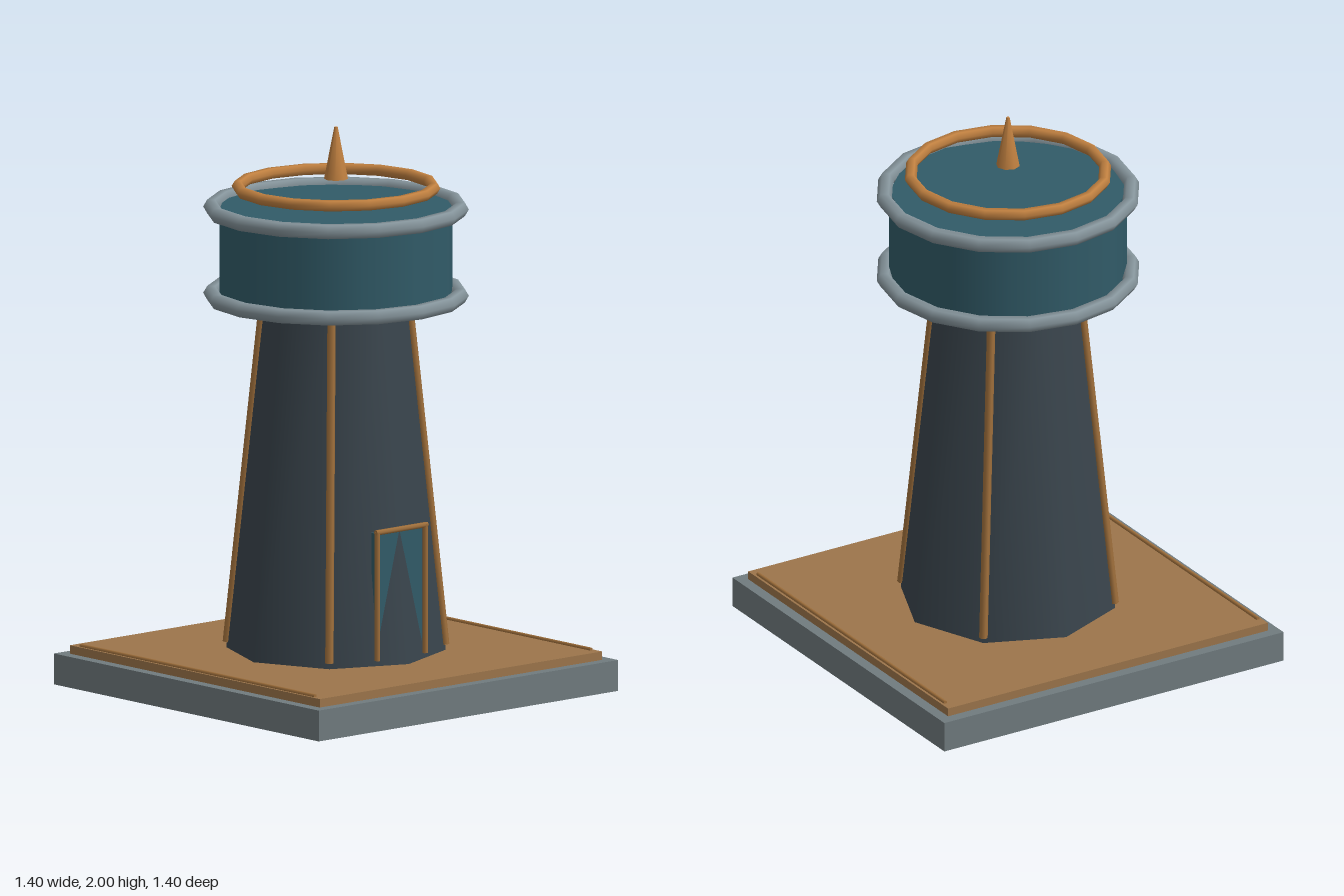
import * as THREE from 'three';

const mat = (color) => new THREE.MeshStandardMaterial({ color });
const STONE = mat(0x707b7e), DECK = mat(0x9c754b), SLATE = mat(0x3a454d);
const TEAL = mat(0x315b68), STEEL = mat(0x85949b), COPPER = mat(0xc08040), BRONZE = mat(0xa0703c);

export function createModel() {
  const model = new THREE.Group();
  const add = (name, geometry, material, x = 0, y = 0, z = 0) => {
    const mesh = new THREE.Mesh(geometry, material);
    mesh.name = name;
    mesh.position.set(x, y, z);
    model.add(mesh);
    return mesh;
  };
  // Thin round bar between two points
  const bar = (name, a, b, radius, material, sides = 6) => {
    const from = new THREE.Vector3(...a), to = new THREE.Vector3(...b);
    const dir = to.clone().sub(from);
    const mesh = add(name, new THREE.CylinderGeometry(radius, radius, dir.length(), sides), material);
    mesh.position.copy(from).add(to).multiplyScalar(0.5);
    mesh.quaternion.setFromUnitVectors(new THREE.Vector3(0, 1, 0), dir.normalize());
    return mesh;
  };
  const ring = (name, radius, tube, y, material) => {
    add(name, new THREE.TorusGeometry(radius, tube, 6, 16), material, 0, y).rotation.x = Math.PI / 2;
  };

  // Plinth and deck
  add('plinth', new THREE.BoxGeometry(1.4, 0.11, 1.4), STONE, 0, 0.055);
  add('deck', new THREE.BoxGeometry(1.32, 0.03, 1.32), DECK, 0, 0.125);
  for (const s of [-1, 1]) {
    bar('deckTrim', [s * 0.645, 0.143, -0.62], [s * 0.645, 0.143, 0.62], 0.007, BRONZE);
  }

  // Eight-sided tapered tower with ribs on the diagonals
  add('tower', new THREE.CylinderGeometry(0.252, 0.385, 1.26, 8), SLATE, 0, 0.77);
  for (let i = 0; i < 4; i++) {
    const a = Math.PI / 4 + (i * Math.PI) / 2;
    const s = Math.sin(a), c = Math.cos(a);
    bar('rib', [s * 0.383, 0.16, c * 0.383], [s * 0.254, 1.39, c * 0.254], 0.015, BRONZE);
  }

  // Door with its frame
  add('door', new THREE.BoxGeometry(0.21, 0.45, 0.03), TEAL, 0, 0.385, 0.32);
  for (const s of [-1, 1]) {
    bar('doorPost', [s * 0.112, 0.16, 0.345], [s * 0.112, 0.62, 0.345], 0.01, BRONZE);
  }
  bar('doorLintel', [-0.12, 0.617, 0.345], [0.12, 0.617, 0.345], 0.01, BRONZE);

  // Drum and its rings
  add('drum', new THREE.CylinderGeometry(0.417, 0.417, 0.32, 12), TEAL, 0, 1.555);
  ring('lowerRing', 0.438, 0.028, 1.403, STEEL);
  ring('upperRing', 0.438, 0.028, 1.711, STEEL);
  ring('crownRing', 0.345, 0.021, 1.785, COPPER);

  // Spire
  add('spire', new THREE.CylinderGeometry(0.006, 0.042, 0.185, 8), COPPER, 0, 1.9075);
  return model;
}
